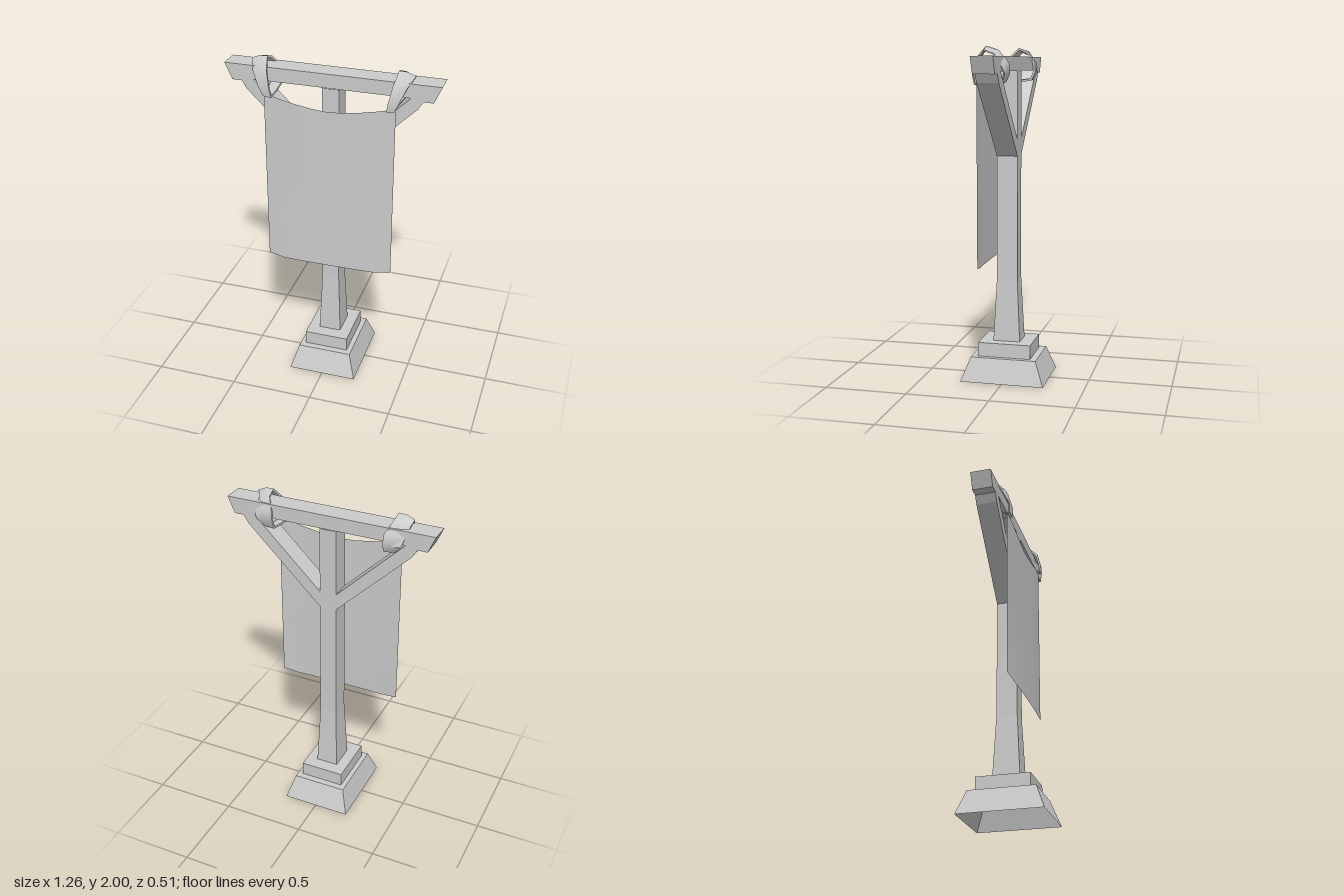
import * as THREE from 'three';
import { toCreasedNormals } from 'three/addons/utils/BufferGeometryUtils.js';

const material = new THREE.MeshStandardMaterial({ color: 0xcccccc, side: THREE.DoubleSide });

function addMesh(group, name, geometry) {
  const mesh = new THREE.Mesh(geometry, material);
  mesh.name = name;
  group.add(mesh);
  return mesh;
}

// Skin between successive closed rings of [x, y, z] points.
function loft(rings, crease) {
  const n = rings[0].length;
  const index = [];
  for (let i = 0; i < rings.length - 1; i++) {
    for (let j = 0; j < n; j++) {
      const a = i * n + j, b = i * n + (j + 1) % n;
      index.push(a, b, b + n, a, b + n, a + n);
    }
  }
  const geometry = new THREE.BufferGeometry();
  geometry.setAttribute('position', new THREE.Float32BufferAttribute(rings.flat(2), 3));
  geometry.setIndex(index);
  return toCreasedNormals(geometry, crease);
}

const rect = ([y, x, z]) => [[x, y, z], [x, y, -z], [-x, y, -z], [-x, y, z]];

// Extrude an x-y outline to the depth of the timber.
function timber(points) {
  const shape = new THREE.Shape(points.map(([x, y]) => new THREE.Vector2(x, y)));
  return new THREE.ExtrudeGeometry(shape, { depth: 0.126, bevelEnabled: false }).translate(0, 0, -0.063);
}

// Strap loop: each entry is [z, y, inner x] going from the front, over the beam and back underneath.
const strapPath = [
  [0.115, 1.785, 0.335], [0.12, 1.84, 0.345], [0.095, 1.935, 0.365], [0.03, 2.0, 0.38], [-0.03, 1.98, 0.375],
  [-0.082, 1.91, 0.34], [-0.087, 1.85, 0.335], [-0.063, 1.8, 0.335], [0.03, 1.785, 0.335],
];

function strap(side, outerX) {
  const rings = strapPath.map(([z, y, inner], i) => {
    const outer = outerX[i];
    const toCentre = new THREE.Vector2(0.01 - z, 1.885 - y).normalize();
    const point = (t, depth) => [
      side * THREE.MathUtils.lerp(inner, outer, t), y + toCentre.y * depth, z + toCentre.x * depth,
    ];
    // Outer edge sits lower than the inner one over the top of the beam
    const drop = y > 1.86 ? 0.022 : 0.006;
    const section = [point(0, 0), point(0.5, 0.002), point(1, drop), point(1, drop + 0.008), point(0.5, 0.018), point(0, 0.014)];
    return side > 0 ? section : section.reverse();
  });
  rings.push(rings[0]);
  return loft(rings, 0.7);
}

export function createModel() {
  const group = new THREE.Group();

  // Stepped hollow foot, open underneath
  addMesh(group, 'base', loft([
    [0, 0.21, 0.255], [0.145, 0.165, 0.2], [0.145, 0.135, 0.161],
    [0.23, 0.135, 0.161], [0.23, 0.068, 0.082],
  ].map(rect), 0.1));

  // Post with a flared lower part
  addMesh(group, 'post', loft([
    [0.23, 0.068, 0.082], [0.62, 0.052, 0.063], [1.86, 0.05, 0.063],
  ].map(rect), 0.02));

  // Crossbeam with slanted ends
  addMesh(group, 'crossbeam', timber([
    [-0.63, 1.945], [-0.587, 1.848], [-0.53, 1.848], [-0.46, 1.862],
    [0.46, 1.862], [0.53, 1.848], [0.587, 1.848], [0.63, 1.945],
  ]));

  // Diagonal braces
  for (const side of [-1, 1]) {
    addMesh(group, side > 0 ? 'leftBrace' : 'rightBrace', timber([
      [0.05, 1.36], [0.5, 1.8], [0.53, 1.848], [0.46, 1.862], [0.05, 1.46],
    ].map(([x, y]) => [side * x, y])));
  }

  // Hanging cloth: sagging top, clipped lower corners, slight forward bulge
  const cloth = new THREE.PlaneGeometry(0.77, 1, 8, 10);
  const p = cloth.attributes.position;
  for (let i = 0; i < p.count; i++) {
    const s = Math.abs(p.getX(i)) / 0.385;
    const v = p.getY(i) + 0.5;
    const top = 1.735 + 0.065 * s ** 1.5;
    const bottom = s > 0.9 ? 0.74 : 0.725;
    p.setY(i, THREE.MathUtils.lerp(bottom, top, v));
    p.setZ(i, 0.095 + (1 - s ** 4) * (0.007 + 0.009 * Math.max(0, 1 - v / 0.4)));
  }
  cloth.computeVertexNormals();
  addMesh(group, 'bannerCloth', cloth);

  // Straps tying the cloth to the beam; the left one comes to a point
  addMesh(group, 'rightStrap', strap(-1, [0.385, 0.41, 0.455, 0.475, 0.47, 0.455, 0.44, 0.4, 0.385]));
  addMesh(group, 'leftStrap', strap(1, [0.38, 0.405, 0.44, 0.475, 0.445, 0.455, 0.44, 0.4, 0.38]));

  return group;
}
